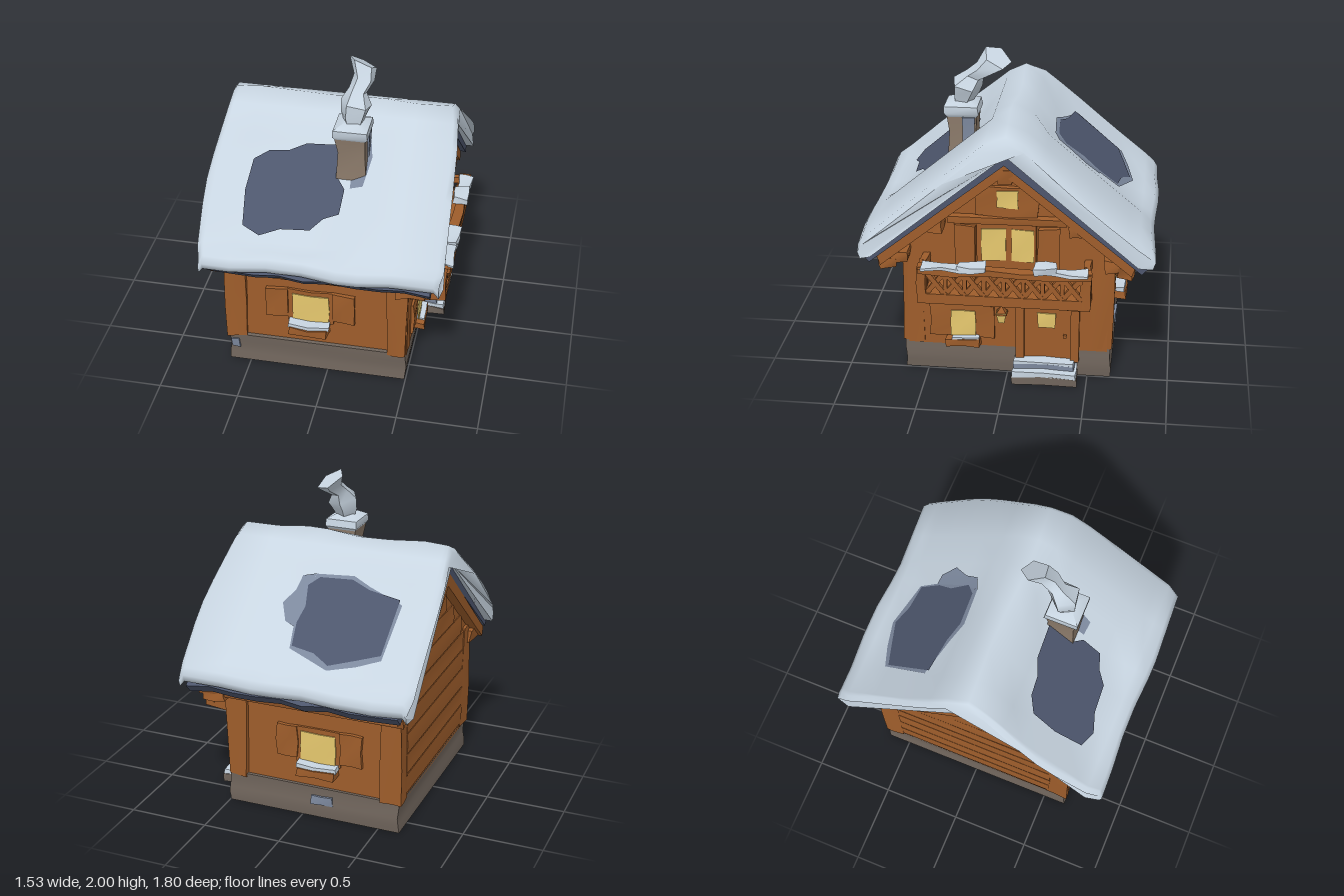
import * as THREE from 'three';
import { toCreasedNormals } from 'three/addons/utils/BufferGeometryUtils.js';

const paint = (name, color) => {
  const m = new THREE.MeshStandardMaterial({ color });
  m.name = name;
  return m;
};

export function createModel() {
  const root = new THREE.Group();
  root.name = 'snowyChalet';
  const snow = paint('snow', 0xc8d5e1), frost = paint('blueFrost', 0x7d899e);
  const slate = paint('slate', 0x4d566d), wood = paint('wood', 0x9e5d2b);
  const stone = paint('stone', 0x70655c), brick = paint('chimneyStone', 0x8b7a6a);
  const glow = paint('windowGlow', 0xe6c86e);

  const add = (name, geo, mat, crease = 0.7) => {
    const m = new THREE.Mesh(toCreasedNormals(geo, crease), mat);
    m.name = name;
    root.add(m);
    return m;
  };

  // Hand-hewn block given by its bounds; a position rule makes it slightly crooked
  const block = (name, mat, [x0, x1], [y0, y1], [z0, z1], amt = 0.008, seg = 2) => {
    const g = new THREE.BoxGeometry(x1 - x0, y1 - y0, Math.abs(z1 - z0), seg, seg, seg);
    g.translate((x0 + x1) / 2, (y0 + y1) / 2, (z0 + z1) / 2);
    const p = g.attributes.position;
    for (let i = 0; i < p.count; i++) {
      const x = p.getX(i), y = p.getY(i), z = p.getZ(i);
      const n = k => amt * Math.sin(x * 23 + y * 31 + z * 19 + k);
      p.setXYZ(i, x + n(0), y < 0.001 ? 0 : y + n(2), z + n(4));
    }
    return add(name, g, mat);
  };

  // Beam between two points
  const beam = (name, mat, a, b, t) => {
    const A = new THREE.Vector3(...a), B = new THREE.Vector3(...b);
    const m = add(name, new THREE.BoxGeometry(t, t, A.distanceTo(B)), mat);
    m.position.copy(A).add(B).multiplyScalar(0.5);
    m.lookAt(B);
  };

  // Closed (z, y) profile swept through stations along x; rule bends each point
  const loft = (name, mat, prof, xs, rule = (x, z, y) => [x, y, z], crease = 0.7) => {
    const pos = [], idx = [], n = prof.length, last = (xs.length - 1) * n;
    xs.forEach((x, i) => prof.forEach(([z, y], j) => pos.push(...rule(x, z, y, i, j))));
    for (let i = 0; i < xs.length - 1; i++)
      for (let j = 0; j < n; j++) {
        const a = i * n + j, b = i * n + (j + 1) % n, c = b + n, d = a + n;
        idx.push(a, d, c, a, c, b);
      }
    const caps = THREE.ShapeUtils.triangulateShape(prof.map(p => new THREE.Vector2(...p)), []);
    caps.forEach(([a, b, c]) => idx.push(a, b, c, last + a, last + c, last + b));
    const g = new THREE.BufferGeometry();
    g.setAttribute('position', new THREE.Float32BufferAttribute(pos, 3));
    g.setIndex(idx);
    add(name, g, mat, crease);
  };
  // Half outlines run ridge to eave and are mirrored into a chevron
  const mirror = ([z, y]) => [-z, y];
  const chevron = (outer, inner) => [
    ...[...outer].reverse(), ...outer.slice(1).map(mirror),
    ...[...inner].reverse().map(mirror), ...inner.slice(1)];

  // Walls and foundation
  block('foundation', stone, [-0.632, 0.497], [0, 0.2], [-0.642, 0.642], 0.005, 4);
  block('foundationFrost', frost, [-0.625, -0.57], [0.1, 0.165], [0.63, 0.651], 0.004);
  block('foundationFrost', frost, [-0.2, -0.06], [0.09, 0.15], [-0.651, -0.63], 0.004);
  loft('walls', wood, [[-0.62, 0.18], [0.62, 0.18], [0.62, 0.92], [0, 1.435], [-0.62, 0.92]], [-0.635, 0.5]);
  for (const s of [-1, 1]) {
    for (const x of [-0.585, 0.435])
      block('cornerPost', wood, [x - 0.06, x + 0.065], [0.19, 0.9], [s * 0.52, s * 0.652], 0.007, 3);
    block('wallPlate', wood, [-0.67, 0.61], [0.78, 0.86], [s * 0.6, s * 0.76], 0.008, 4);
    for (const x of [-0.42, -0.07, 0.38])
      beam('rafterTail', wood, [x, 0.87, s * 0.62], [x, 0.79, s * 0.76], 0.06);
    // Long-side window with shutters and snowy sill
    block('windowFrame', wood, [-0.25, 0.04], [0.36, 0.6], [s * 0.6, s * 0.635], 0.004);
    block('windowPane', glow, [-0.22, 0.01], [0.37, 0.57], [s * 0.635, s * 0.643], 0.003);
    for (const x of [-0.39, 0.03])
      block('shutter', wood, [x, x + 0.14], [0.39, 0.6], [s * 0.6, s * 0.645], 0.005);
    block('windowSill', wood, [-0.23, 0.01], [0.305, 0.355], [s * 0.6, s * 0.715], 0.007);
    block('sillSnow', snow, [-0.24, 0.02], [0.35, 0.378], [s * 0.62, s * 0.705], 0.006);
  }
  // Plank courses on the plain gable
  for (let i = 0; i < 8; i++) {
    const y = 0.22 + i * 0.135, w = Math.min(0.53, (1.29 - y) / 0.84);
    block('plank', wood, [-0.643, -0.62], [y, y + 0.128], [-w, w], 0.002, 3);
  }

  // Roof boards, slate and snow
  const boards = chevron([[0, 1.48], [0.78, 0.83]], [[0, 1.39], [0.76, 0.77]]);
  loft('roofBoards', wood, boards, [-0.7, 0.63]);
  const slates = chevron([[0, 1.56], [0.87, 0.87]], [[0, 1.465], [0.82, 0.815]]);
  loft('slateLayer', slate, slates, [-0.7, -0.55, -0.4, -0.25, -0.1, 0.05, 0.2, 0.35, 0.5, 0.66],
    (x, z, y) => [x, y + (Math.abs(z) > 0.8 ? 0.012 * Math.sin(x * 17) : 0), z]);
  // Snow sags around the bare patches, deeper on the front slope
  const clamp = v => THREE.MathUtils.clamp(v, 0, 1);
  const sag = (x, z) => (z > 0 ? 0.065 : 0.04) *
    clamp((0.45 - Math.abs(x + 0.22)) / 0.13) * clamp((0.36 - Math.abs(Math.abs(z) - 0.48)) / 0.11);
  const slope = z => 1.6943 - 0.8441 * Math.abs(z);
  const outer = [[0, 1.645], ...[0.12, 0.23, 0.36, 0.48, 0.6, 0.73, 0.8].map(z => [z, slope(z)]),
    [0.865, 0.972], [0.89, 0.93], [0.875, 0.885]];
  const blanket = chevron(outer, [[0, 1.53], [0.8, 0.87]]);
  const topCount = outer.length * 2 - 1;
  loft('snowBlanket', snow, blanket, [-0.715, -0.69, -0.67, -0.54, -0.32, -0.11, 0.1, 0.23, 0.43, 0.645, 0.675],
    (x, z, y, i, j) => {
      const a = Math.abs(z), loose = a < 0.1 || a > 0.85, top = j < topCount;
      const end = (i === 0 || i === 10) && top;
      const bulge = Math.abs(x) > 0.6 ? 0.07 * Math.min(1, a * 2.5) - (a > 0.85 ? 0.03 : 0) : 0;
      return [x * (1 + bulge) + (i < 2 || i > 8 ? 0.01 * Math.sin(z * 9) : 0),
        y - (end ? 0.035 : 0) - (top && a < 0.85 ? sag(x, z) : 0) + (loose ? 0.012 * Math.sin(x * 9 + z * 4) : 0),
        z + (loose ? 0.01 * Math.sin(x * 7) : 0)];
    }, 1.3);
  // Bare patches where the snow has slid off, laid on the slope
  const patch = (name, mat, pts, lift) => {
    const g = new THREE.ShapeGeometry(new THREE.Shape(pts.map(([x, z]) => new THREE.Vector2(x, -z))));
    const p = g.attributes.position;
    for (let i = 0; i < p.count; i++) {
      const x = p.getX(i), z = -p.getY(i);
      p.setXYZ(i, x, slope(z) - sag(x, z) + lift, z);
    }
    add(name, g, mat);
  };
  patch('frontBarePatch', slate, [[-0.51, 0.35], [-0.42, 0.3], [-0.3, 0.29], [-0.2, 0.25], [0.02, 0.24],
    [0.02, 0.4], [0.07, 0.45], [0.06, 0.57], [-0.03, 0.6], [-0.1, 0.66], [-0.28, 0.67], [-0.4, 0.71],
    [-0.51, 0.67], [-0.53, 0.5]], 0.012);
  patch('chimneyFrostRim', frost, [[0.1, 0.21], [0.19, 0.22], [0.215, 0.32], [0.18, 0.45], [0.1, 0.44]], 0.007);
  patch('backPatchRim', frost, [[-0.53, -0.35], [-0.51, -0.64], [-0.37, -0.69], [-0.2, -0.73], [-0.1, -0.7],
    [0.07, -0.65], [0.09, -0.55], [0.09, -0.35], [0.06, -0.25], [-0.18, -0.235], [-0.3, -0.28]], 0.007);
  patch('backPatchFrost', frost, [[0.088, -0.54], [0.15, -0.53], [0.2, -0.45], [0.15, -0.36], [0.14, -0.28],
    [0.06, -0.25], [0.088, -0.35]], 0.009);
  patch('backBarePatch', slate, [[-0.51, -0.33], [-0.5, -0.62], [-0.37, -0.66], [-0.2, -0.71], [-0.09, -0.66],
    [0.06, -0.64], [0.08, -0.52], [0.06, -0.43], [0.09, -0.32], [0.03, -0.27], [-0.18, -0.26], [-0.3, -0.3]], 0.013);

  // Chimney, snow cap and smoke: rings [x, y, z, radius, tilt] from top to bottom
  const stack = (name, mat, rings, sides, turn = Math.PI / 4) => {
    const n = rings.length - 1, g = new THREE.CylinderGeometry(1, 1, 1, sides, n, false, turn);
    const p = g.attributes.position;
    for (let i = 0; i < p.count; i++) {
      const [x, y, z, r, t = 0] = rings[Math.round((0.5 - p.getY(i)) * n)];
      const dx = p.getX(i) * r, dz = p.getZ(i) * r;
      p.setXYZ(i, x + dx, y + t * (dz - dx), z + dz);
    }
    add(name, g, mat);
  };
  stack('chimney', brick, [[0.09, 1.61, 0.315, 0.135], [0.1, 1.48, 0.31, 0.115], [0.1, 1.3, 0.31, 0.13]], 4);
  block('chimneyFrost', frost, [0.17, 0.193], [1.37, 1.58], [0.235, 0.31], 0.003);
  stack('chimneySnow', snow, [[0.09, 1.675, 0.33, 0.06], [0.095, 1.645, 0.32, 0.145],
    [0.095, 1.6, 0.315, 0.15], [0.095, 1.575, 0.315, 0.125]], 4);
  stack('smoke', snow, [[0.115, 1.945, 0.1, 0.085, 0.45], [0.135, 1.88, 0.17, 0.065, 0.3],
    [0.11, 1.83, 0.24, 0.055, 0.3], [0.11, 1.77, 0.29, 0.095, 0.2], [0.1, 1.71, 0.3, 0.085], [0.1, 1.64, 0.32, 0.055]], 5);

  // Balcony gable: upper panels, shutters and glowing panes
  const gable = (name, mat, x, y, z, amt) => block(name, mat, [0.48, x], y, z, amt);
  const pane = (y, z, x = 0.525) => block('windowPane', glow, [x, x + 0.008], y, z, 0.003);
  gable('atticPanel', wood, 0.525, [1.08, 1.27], [-0.19, 0.19], 0.006);
  gable('gableBeam', wood, 0.54, [1.03, 1.08], [-0.36, 0.36], 0.005);
  gable('balconyDoors', wood, 0.525, [0.63, 1.03], [-0.18, 0.18], 0.004);
  pane([1.14, 1.25], [-0.07, 0.06]);
  pane([0.79, 1.0], [0.005, 0.155]);
  pane([0.79, 1.0], [-0.165, -0.03]);
  block('ridgeBeam', wood, [0.45, 0.63], [1.33, 1.43], [-0.045, 0.045], 0.006);
  for (const s of [-1, 1]) {
    gable('balconyShutter', wood, 0.53, [0.64, 1.01], [s * 0.19, s * 0.32], 0.005);
    block('purlinEnd', wood, [0.45, 0.62], [1.0, 1.08], [s * 0.38, s * 0.46], 0.006);
    block('eaveBracket', wood, [0.45, 0.61], [0.74, 0.82], [s * 0.67, s * 0.77], 0.01);
  }

  // Ground floor window, lantern, door and snowy step
  gable('lowerWindowFrame', wood, 0.52, [0.25, 0.47], [0.08, 0.48], 0.006);
  pane([0.26, 0.43], [0.195, 0.35]);
  gable('lowerSill', wood, 0.57, [0.2, 0.25], [0.165, 0.38], 0.005);
  block('lowerSillSnow', snow, [0.51, 0.565], [0.247, 0.262], [0.17, 0.34], 0.003);
  for (const z of [-0.08, -0.42]) gable('doorPost', wood, 0.54, [0.12, 0.52], [z - 0.025, z + 0.025], 0.004);
  gable('doorCanopy', wood, 0.6, [0.51, 0.58], [-0.45, -0.03], 0.005);
  gable('door', wood, 0.52, [0.12, 0.51], [-0.4, -0.1], 0.003);
  pane([0.34, 0.445], [-0.3, -0.19], 0.522);
  block('doorKnob', wood, [0.52, 0.54], [0.28, 0.3], [-0.37, -0.35], 0);
  block('lanternArm', wood, [0.49, 0.56], [0.45, 0.475], [0.02, 0.04], 0.002);
  stack('lantern', glow, [[0.55, 0.45, 0.03, 0.045], [0.55, 0.38, 0.03, 0.025]], 4);
  stack('lanternRoof', wood, [[0.55, 0.485, 0.03, 0.008], [0.55, 0.44, 0.03, 0.05]], 4);
  block('doorStep', stone, [0.48, 0.645], [0, 0.055], [-0.44, -0.04], 0.006);
  block('stepFrost', frost, [0.48, 0.595], [0.05, 0.118], [-0.42, -0.05], 0.005);
  block('stepSnow', snow, [0.5, 0.645], [0.05, 0.085], [-0.435, -0.045], 0.005);
  block('thresholdSnow', snow, [0.5, 0.595], [0.114, 0.132], [-0.42, -0.05], 0.004);

  // Balcony with crossed balusters and snow on the rail
  loft('balconyFloor', wood, [[-0.52, 0.56], [0.52, 0.56], [0.52, 0.635], [-0.52, 0.635]], [0.48, 0.58, 0.715],
    (x, z, y, i, j) => [x, y - (j < 2 ? 0.02 - i * 0.015 : 0), z]);
  block('balconyRail', wood, [0.67, 0.73], [0.77, 0.81], [-0.525, 0.52], 0.007, 5);
  for (const s of [-1, 1]) {
    block('sidePanel', wood, [0.48, 0.62], [0.62, 0.81], [s * 0.475, s * 0.515], 0.005);
    block('sideRail', wood, [0.6, 0.71], [0.77, 0.81], [s * 0.48, s * 0.52], 0.004);
    block('railPost', wood, [0.66, 0.715], [0.58, 0.815], [s * 0.47, s * 0.525], 0.005);
    beam('sideBaluster', wood, [0.61, 0.64, s * 0.5], [0.68, 0.78, s * 0.5], 0.03);
  }
  for (let i = 0; i < 8; i++) {
    const z = -0.47 + i * 0.1175;
    beam('baluster', wood, [0.695, 0.63, z], [0.695, 0.78, z + 0.1175], 0.03);
    beam('baluster', wood, [0.69, 0.78, z], [0.69, 0.63, z + 0.1175], 0.03);
    beam('balusterPost', wood, [0.695, 0.62, z], [0.695, 0.78, z], 0.025);
  }
  for (const [z0, z1, h] of [[0.11, 0.27, 0.84], [0.24, 0.5, 0.822], [-0.32, -0.18, 0.855], [-0.5, -0.32, 0.822]])
    block('railSnow', snow, [0.66, 0.745], [0.803, h], [z0, z1], 0.008);

  return root;
}
